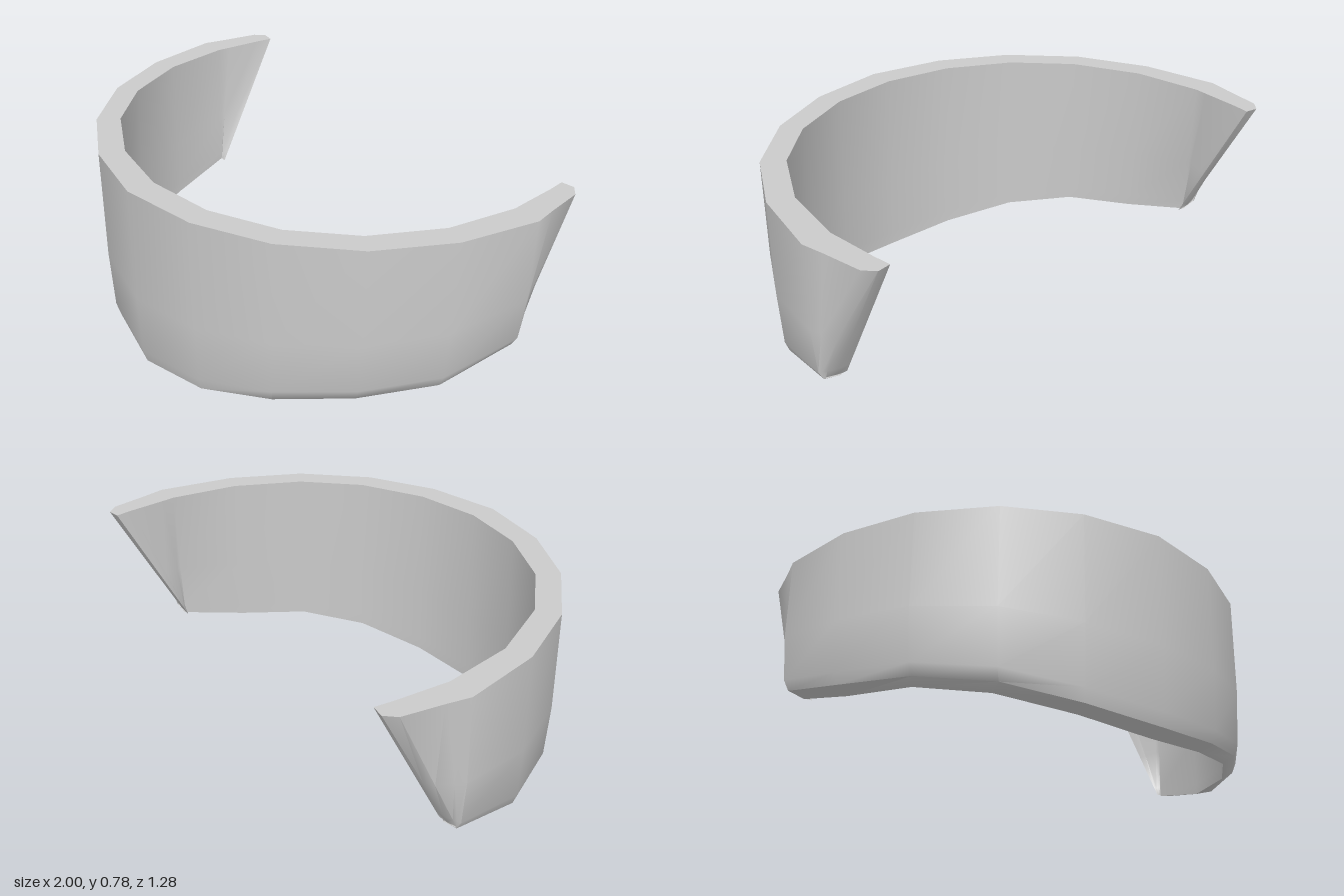
import * as THREE from 'three';
import { toCreasedNormals } from 'three/addons/utils/BufferGeometryUtils.js';

const TOP = 0.78;
// Column levels (0 bottom edge, 1 top edge) and how far the outer wall tucks in at each
const LEVELS = [0, 0.07, 0.4, 1];
const TUCK = [0.045, 0.022, 0.003, 0];

// Half of the band from the front centre to the tip:
// outer x, z | inner x, z | bottom y of outer, inner | lean of the slanted end | amount of tuck
const HALF = [
  [0, 0.637, 0, 0.53, 0.02, 0.0, 0, 1],
  [0.31, 0.58, 0.275, 0.487, 0.05, 0.03, 0, 1],
  [0.58, 0.44, 0.53, 0.36, 0.105, 0.085, 0, 1],
  [0.8, 0.22, 0.722, 0.168, 0.145, 0.125, 0, 1],
  [0.94, -0.055, 0.85, -0.088, 0.17, 0.155, 0, 0.75],
  [1, -0.36, 0.893, -0.36, 0.245, 0.23, 0, 0.9],
  [0.98, -0.45, 0.888, -0.41, 0.245, 0.23, 0.09, 0.6],
  [0.952, -0.6, 0.875, -0.56, 0.245, 0.23, 0.245, 0],
  [0.915, -0.638, 0.865, -0.63, 0.24, 0.23, 0.278, 0],
];

// Closed cross-section: up the outer wall, then down the inner wall
function section([ox, oz, ix, iz, yo, yi, lean, tuck], side) {
  const outer = LEVELS.map((v, k) => {
    const s = 1 - TUCK[k] * tuck;
    return [side * ox * s, yo + (TOP - yo) * v, oz > 0 ? oz * s : oz + lean * (1 - v)];
  });
  const innerLean = Math.max(0, Math.min(lean, -0.355 - iz));
  const inner = LEVELS.map((v) => {
    const s = 1 + 0.025 * (1 - v);
    const tip = lean > 0 ? Math.max(innerLean, -iz - 0.355) : 0;
    return [side * ix * (iz > 0 ? s : 1), yi + (TOP - yi) * v, iz > 0 ? iz * s : iz + tip * (1 - v)];
  });
  return [...outer, ...inner.reverse()];
}

function bandGeometry() {
  const sections = [
    ...HALF.slice(1).reverse().map((h) => section(h, -1)),
    ...HALF.map((h) => section(h, 1)),
  ];
  const n = sections[0].length;
  const last = sections.length - 1;
  const index = [];
  const quad = (a, b, c, d) => index.push(a, b, c, a, c, d);

  // Walls, top rim and bottom edge
  for (let i = 0; i < last; i++) {
    for (let j = 0; j < n; j++) {
      const k = (j + 1) % n;
      quad(i * n + j, (i + 1) * n + j, (i + 1) * n + k, i * n + k);
    }
  }
  // Slanted end faces
  for (let j = 0; j < LEVELS.length - 1; j++) {
    const inner = n - 1 - j;
    const e = last * n;
    quad(e + j, e + inner, e + inner - 1, e + j + 1);
    quad(j, j + 1, inner - 1, inner);
  }

  const geometry = new THREE.BufferGeometry();
  geometry.setAttribute('position', new THREE.Float32BufferAttribute(sections.flat(2), 3));
  geometry.setIndex(index);
  return toCreasedNormals(geometry, 0.85);
}

export function createModel() {
  const group = new THREE.Group();
  group.name = 'curvedGuard';
  const material = new THREE.MeshStandardMaterial({ color: 0xcccccc });
  const band = new THREE.Mesh(bandGeometry(), material);
  band.name = 'curvedBand';
  group.add(band);
  return group;
}
